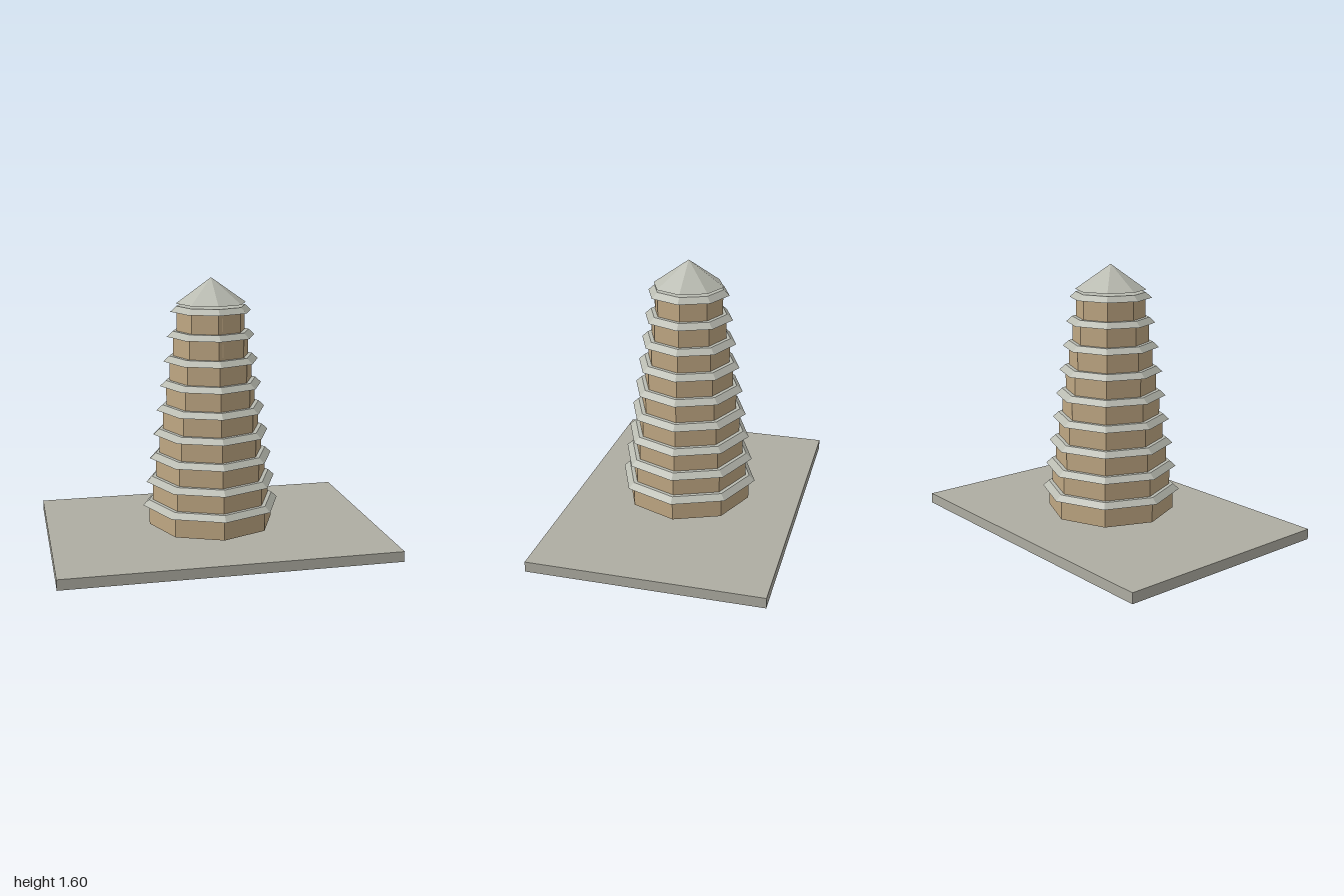
import * as THREE from 'three';

export function createModel() {
  const group = new THREE.Group();
  const paving = new THREE.MeshStandardMaterial({ color: 0xaeada2 });
  const brick = new THREE.MeshStandardMaterial({ color: 0xbfa783 });
  const tile = new THREE.MeshStandardMaterial({ color: 0xb9bbb1 });
  paving.name = 'paving';
  brick.name = 'brick';
  tile.name = 'roofTile';
  for (const m of [paving, brick, tile]) m.flatShading = true;

  const add = (name, geometry, material, x, y, z) => {
    const mesh = new THREE.Mesh(geometry, material);
    mesh.name = name;
    mesh.position.set(x, y, z);
    group.add(mesh);
  };
  // Octagonal drum standing on y, with corners on the x and z axes
  const octagon = (name, top, bottom, y, height, material) =>
    add(name, new THREE.CylinderGeometry(top, bottom, height, 8), material, 0, y + height / 2, 0);

  // Ground slab
  add('baseSlab', new THREE.BoxGeometry(2, 0.063, 1.386), paving, 0, 0.0315, 0);

  // Nine shrinking storeys, each with a flared eave
  const storeys = 9, rise = 0.148, wallHeight = 0.122, eaveHeight = 0.033;
  for (let i = 0; i < storeys; i++) {
    const y = 0.096 + i * rise;
    const r = 0.385 - i * 0.0222;
    octagon(`storeyWall${i + 1}`, r, r, y, wallHeight, brick);
    octagon(`eave${i + 1}`, r + 0.002, r + 0.038, y + wallHeight, eaveHeight, tile);

    // Narrow ribs on the front of the two upper storeys
    if (i >= storeys - 2) {
      const x = 0.025;
      add(`wallRib${i + 1}`, new THREE.BoxGeometry(0.006, 0.08, 0.006), brick,
        x, y + 0.062, r - x * Math.tan(Math.PI / 8));
    }
  }

  // Pointed cap, floating just above the top eave
  add('capRoof', new THREE.ConeGeometry(0.212, 0.15, 8), tile, 0, 1.525, 0);
  return group;
}
